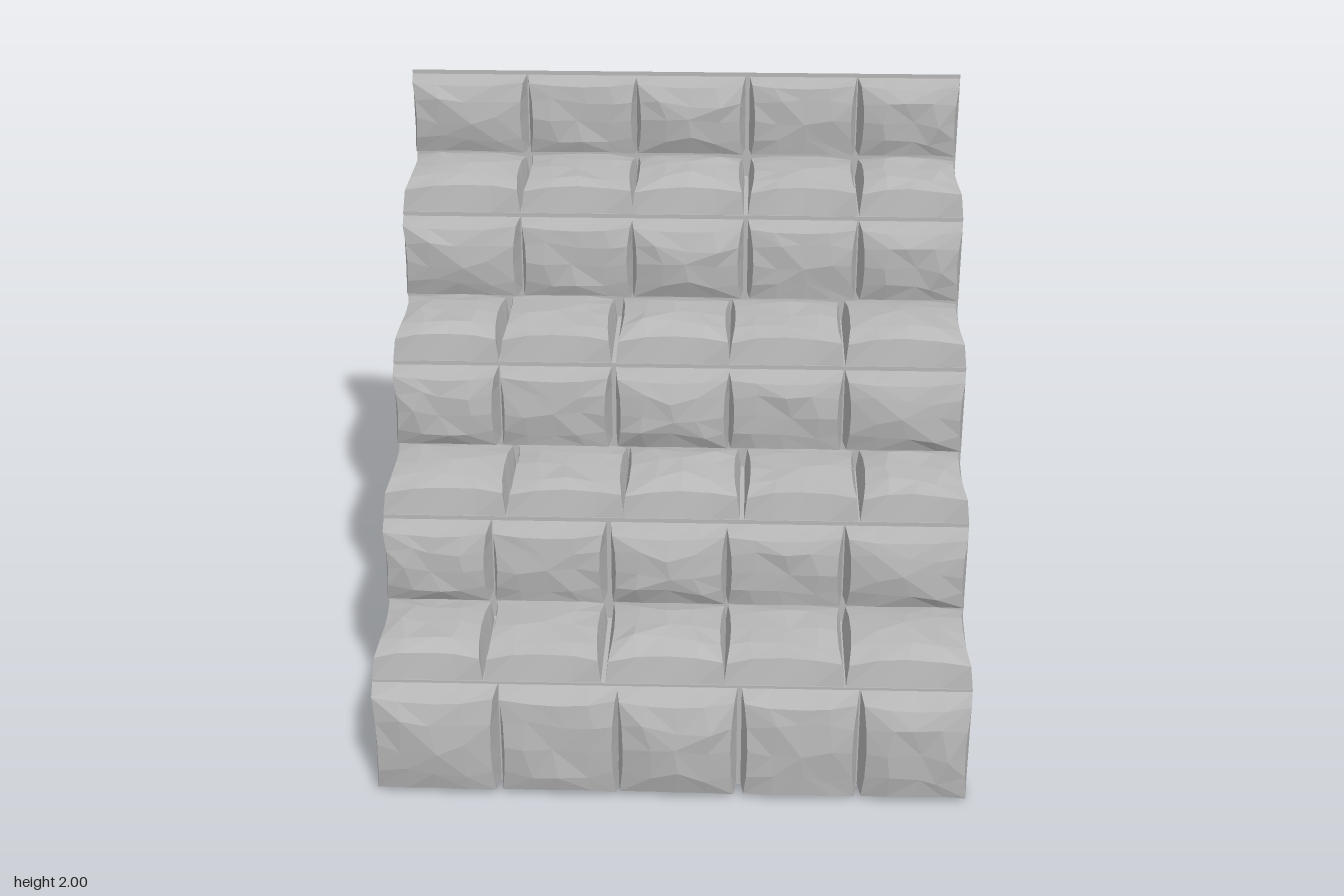
import * as THREE from 'three';

const stone = new THREE.MeshStandardMaterial({ color: 0xb8b8b8, flatShading: true, side: THREE.DoubleSide });
stone.name = 'grey stone';

function seeded(seed) {
  let s = seed;
  return () => (s = (s * 16807) % 2147483647) / 2147483647;
}

// Rough-hewn block: rectangular base, tapered sides, faceted bulging face along +z
function hewnBlock(x0, x1, halfHeight, bulge, seed) {
  const rand = seeded(seed), N = 4, face = [], pos = [];
  const jitter = (a) => (rand() - 0.5) * 2 * a;
  const base = (i, j) => [x0 + (x1 - x0) * i / N, halfHeight * (2 * j / N - 1), 0];
  for (let i = 0; i <= N; i++) {
    face.push([]);
    for (let j = 0; j <= N; j++) {
      const s = 2 * i / N - 1, t = 2 * j / N - 1;
      const pillow = (1 - s * s) * (1 - t * t);
      const sides = (Math.abs(s) === 1) + (Math.abs(t) === 1);
      const [x, y] = base(i, j);
      if (sides) {
        // rim: corners low and wide, edge middles drawn in and raised
        const mid = 1 - Math.min(Math.abs(s), Math.abs(t)) ** 2;
        const inset = 0.009 + 0.012 * mid;
        face[i].push([
          x - (Math.abs(s) === 1 ? s * inset : jitter(0.008)),
          y - (Math.abs(t) === 1 ? t * inset : jitter(0.008)),
          0.08 + 0.016 * mid + jitter(0.004)]);
      } else {
        face[i].push([x + jitter(0.022), y + jitter(0.022),
          0.09 + (bulge - 0.09) * Math.sqrt(pillow) + jitter(0.007)]);
      }
    }
  }
  const tri = (a, b, c) => pos.push(...a, ...b, ...c);
  for (let i = 0; i < N; i++) for (let j = 0; j < N; j++) {
    const a = face[i][j], b = face[i + 1][j], c = face[i + 1][j + 1], d = face[i][j + 1];
    // diagonals radiate from the centre
    if ((i < 2) === (j < 2)) { tri(a, b, c); tri(a, c, d); }
    else { tri(a, b, d); tri(b, c, d); }
  }
  const ring = [];
  for (let k = 0; k < N; k++) ring.push([k, 0]);
  for (let k = 0; k < N; k++) ring.push([N, k]);
  for (let k = N; k > 0; k--) ring.push([k, N]);
  for (let k = N; k > 0; k--) ring.push([0, k]);
  ring.forEach(([i, j], k) => {
    const [m, n] = ring[(k + 1) % ring.length];
    tri(base(i, j), base(m, n), face[m][n]);
    tri(base(i, j), face[m][n], face[i][j]);
  });
  const g = new THREE.BufferGeometry();
  g.setAttribute('position', new THREE.Float32BufferAttribute(pos, 3));
  g.computeVertexNormals();
  return g;
}

export function createModel() {
  const model = new THREE.Group();
  model.name = 'stoneStaircase';

  // Five block shapes: left edge, right edge, bulge
  const blocks = [
    [-1.0, -0.58, 0.12], [-0.575, -0.175, 0.107], [-0.18, 0.22, 0.125],
    [0.235, 0.625, 0.107], [0.63, 1.0, 0.115],
  ].map(([a, b, h], i) => hewnBlock(a, b, 0.19, h, 7919 * (i + 3)));

  function row(name, flipped, scale) {
    const group = new THREE.Group();
    group.name = name;
    blocks.forEach((geometry, i) => {
      const mesh = new THREE.Mesh(geometry, stone);
      mesh.name = name + 'Block' + (i + 1);
      mesh.scale.y = scale;
      if (flipped) mesh.rotation.z = Math.PI;
      group.add(mesh);
    });
    model.add(group);
    return group;
  }

  function sheet(name, height) {
    const mesh = new THREE.Mesh(new THREE.PlaneGeometry(2, height), stone);
    mesh.name = name;
    model.add(mesh);
    return mesh;
  }

  const riserZ = [0.74, 0.33, -0.06, -0.46, -0.86];
  const riserFlip = [false, true, true, false, false];
  riserZ.forEach((z, i) => {
    // Riser: backing sheet and its row of blocks
    sheet('riserBacking' + (i + 1), 0.4).position.set(0, 0.4 * i + 0.2, z);
    const y = i === 0 ? 0.2 : 0.4 * i + 0.246;
    row('riser' + (i + 1), riserFlip[i], i === 0 ? 1 : 0.73).position.set(0, y, z);

    // Tread: backing sheet and its row of blocks
    if (i === 4) return;
    const back = riserZ[i + 1], top = 0.4 * (i + 1);
    const tread = sheet('treadBacking' + (i + 1), z - back);
    tread.rotation.x = -Math.PI / 2;
    tread.position.set(0, top, (z + back) / 2);
    const stones = row('tread' + (i + 1), i % 2 === 0, 1);
    stones.rotation.x = -Math.PI / 2;
    stones.position.set(0, top, z - 0.193);
  });
  return model;
}
